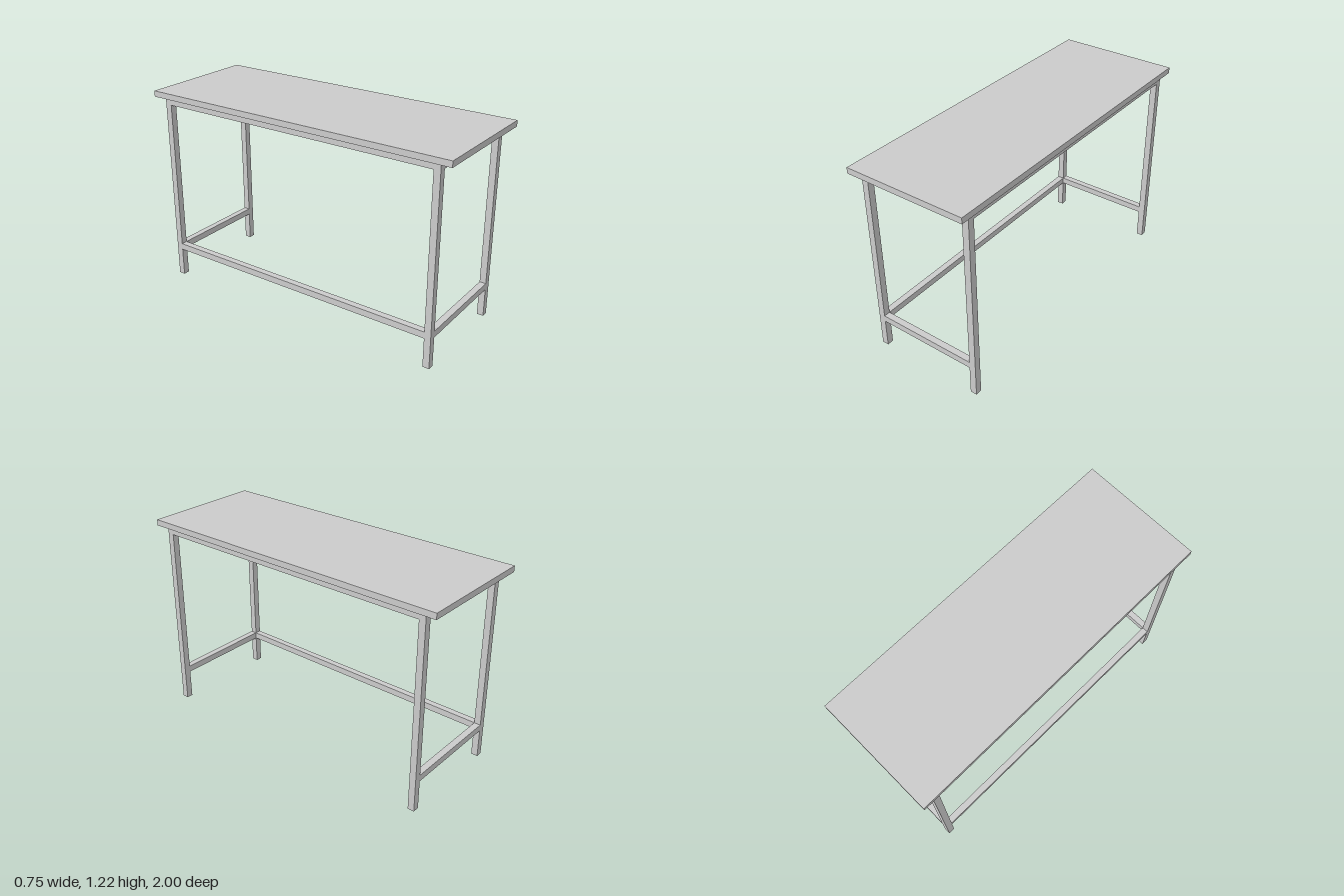
import * as THREE from 'three';

const material = new THREE.MeshStandardMaterial({ color: 0xcccccc });

export function createModel() {
  const table = new THREE.Group();
  table.name = 'table';

  const bar = 0.04;                // square tube thickness
  const legX = 0.331, legZ = 0.909; // leg centre lines
  const frameTop = 1.188, topY = 1.224;
  const railY = frameTop - bar / 2, stretcherY = 0.2;

  function box(name, w, h, d, x, y, z) {
    const mesh = new THREE.Mesh(new THREE.BoxGeometry(w, h, d), material);
    mesh.name = name;
    mesh.position.set(x, y, z);
    table.add(mesh);
  }

  // Table top
  box('tableTop', 0.746, topY - frameTop, 2, 0, (topY + frameTop) / 2, 0);

  // Legs, and the long top rails between them
  for (const sx of [1, -1]) {
    const side = sx > 0 ? 'left' : 'right';
    for (const sz of [1, -1]) {
      const end = sz > 0 ? 'Front' : 'Back';
      box(side + end + 'Leg', bar, frameTop, bar, sx * legX, frameTop / 2, sz * legZ);
    }
    box(side + 'TopRail', bar, bar, 2 * legZ - bar, sx * legX, railY, 0);
  }

  // Short top rails and low stretchers at both ends
  for (const sz of [1, -1]) {
    const end = sz > 0 ? 'front' : 'back';
    box(end + 'TopRail', 2 * legX - bar, bar, bar, 0, railY, sz * legZ);
    box(end + 'Stretcher', 2 * legX - bar, bar, bar, 0, stretcherY, sz * legZ);
  }

  // Long low stretcher, on one side only
  box('rightStretcher', bar, bar, 2 * legZ - bar, -legX, stretcherY, 0);

  return table;
}
